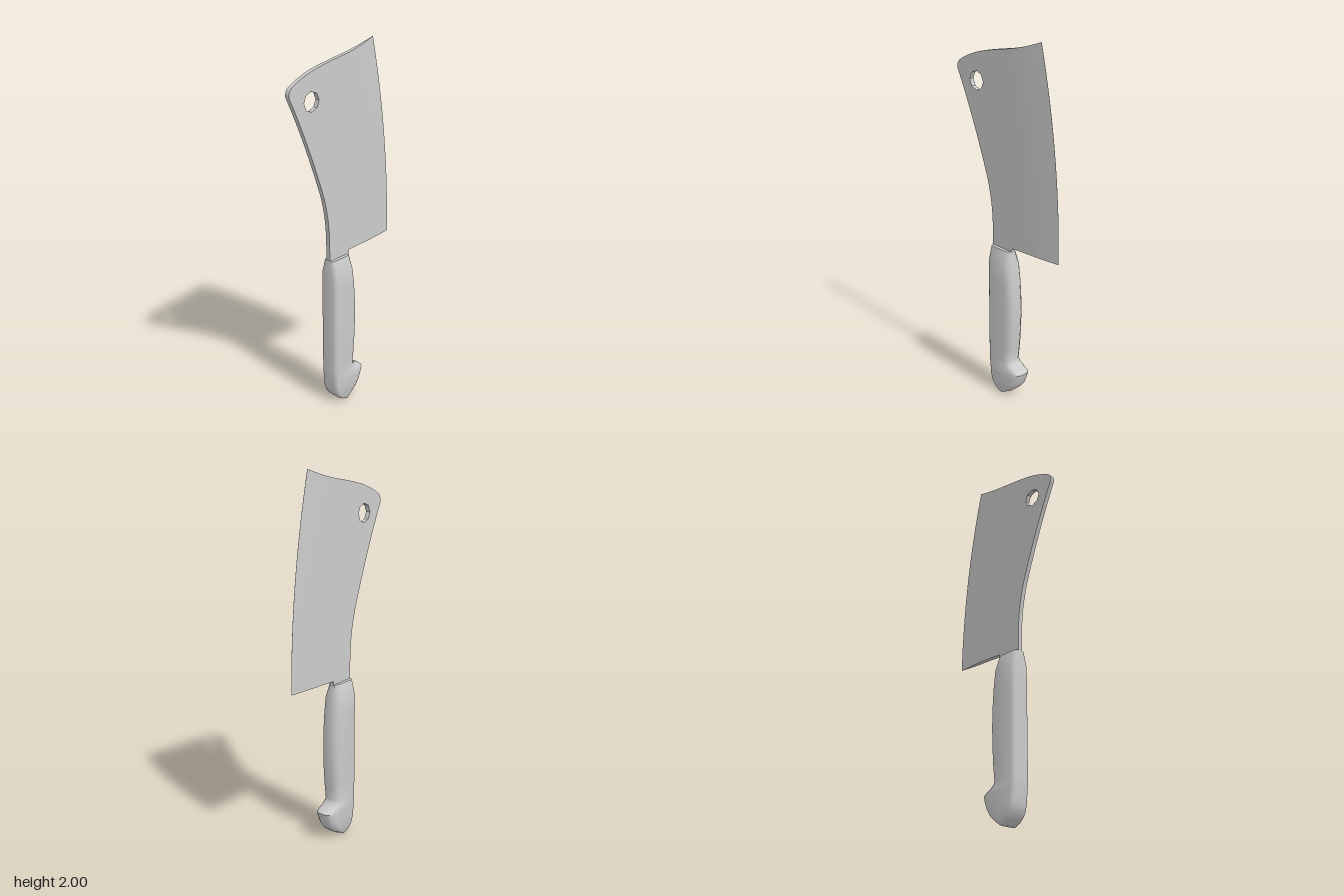
import * as THREE from 'three';
import { toCreasedNormals } from 'three/addons/utils/BufferGeometryUtils.js';

const HALF = 0.0125;      // half thickness of the blade plate
const GRIND = 0.22;       // width of the ground cutting zone

// Point on the ground zone: u = 0 at the plate, 1 at the edge; t = 0 heel, 1 tip
function grindPoint(u, t) {
  const edgeX = (1 - t) ** 2 * 0.36 + 2 * t * (1 - t) * 0.356 + t * t * 0.22;
  const bottom = 0.905 + 0.005 * u;
  const top = 1.94 + 0.06 * (0.65 * u + 0.35 * u * u);
  return [edgeX - GRIND * (1 - u), bottom + (top - bottom) * t];
}

// Flat part of the blade, with hanging hole and a tang reaching into the handle
function bladePlate() {
  const shape = new THREE.Shape();
  shape.moveTo(-0.104, 0.86);
  shape.lineTo(0.035, 0.86);
  shape.lineTo(0.04, 0.9);
  for (let i = 0; i <= 16; i++) shape.lineTo(...grindPoint(0, i / 16));
  shape.quadraticCurveTo(-0.11, 1.922, -0.2, 1.9);
  shape.quadraticCurveTo(-0.28, 1.877, -0.343, 1.84);
  shape.quadraticCurveTo(-0.375, 1.815, -0.36, 1.785);
  shape.quadraticCurveTo(-0.25, 1.56, -0.145, 1.25);
  shape.quadraticCurveTo(-0.108, 1.12, -0.106, 1.0);
  shape.closePath();
  const hole = new THREE.Path();
  for (let i = 0; i < 8; i++) {
    const a = -(i + 0.0) * Math.PI / 4;
    const x = -0.22 + 0.05 * Math.cos(a), y = 1.75 + 0.05 * Math.sin(a);
    i ? hole.lineTo(x, y) : hole.moveTo(x, y);
  }
  hole.closePath();
  shape.holes.push(hole);
  const g = new THREE.ExtrudeGeometry(shape, { depth: 2 * HALF, bevelEnabled: false, curveSegments: 8 });
  g.translate(0, 0, -HALF);
  return toCreasedNormals(g, 0.6);
}

// Convex taper from the plate down to the cutting edge
function bladeEdge() {
  const g = new THREE.BoxGeometry(1, 1, 1, 10, 16, 1);
  const p = g.attributes.position;
  for (let i = 0; i < p.count; i++) {
    const u = p.getX(i) + 0.5, t = p.getY(i) + 0.5;
    const [x, y] = grindPoint(u, t);
    const half = Math.max(HALF * (1 - u ** 1.8), 0.0003);
    p.setXYZ(i, x, y, Math.sign(p.getZ(i)) * half);
  }
  g.computeVertexNormals();
  return g;
}

// Handle lofted from chamfered sections: [y, back x, front x, half depth]
function handleGeometry() {
  const sections = [
    [0.88, -0.105, 0.035, 0.032], [0.86, -0.106, 0.038, 0.038], [0.8, -0.107, 0.048, 0.055],
    [0.7, -0.108, 0.061, 0.055], [0.6, -0.108, 0.068, 0.055], [0.5, -0.108, 0.07, 0.055],
    [0.4, -0.108, 0.067, 0.055], [0.3, -0.108, 0.06, 0.055], [0.215, -0.107, 0.05, 0.055],
    [0.195, -0.107, 0.064, 0.055], [0.18, -0.106, 0.09, 0.055], [0.16, -0.104, 0.127, 0.055],
    [0.13, -0.101, 0.12, 0.055], [0.09, -0.097, 0.104, 0.055], [0.055, -0.086, 0.08, 0.055],
    [0.025, -0.064, 0.046, 0.053], [0.01, -0.042, 0.02, 0.05], [0, -0.02, 0.0, 0.045],
  ];
  const pos = [], idx = [];
  let n = 0;
  for (const [y, xb, xf, h] of sections) {
    const w = xf - xb, b = Math.min(0.016, 0.3 * w), f = Math.min(0.04, 0.35 * w);
    const side = [[xb, 0.6], [xb + b * 0.35, 0.85], [xb + b, 1], [xf - f, 1], [xf - f * 0.35, 0.82], [xf, 0.45]];
    const ring = [...side, ...side.slice().reverse().map(([x, z]) => [x, -z])];
    n = ring.length;
    for (const [x, z] of ring) pos.push(x, y, z * h);
  }
  const last = (sections.length - 1) * n;
  for (let j = 0; j < sections.length - 1; j++) {
    for (let i = 0; i < n; i++) {
      const a = j * n + i, b = j * n + (i + 1) % n;
      idx.push(a, a + n, b, b, a + n, b + n);
    }
  }
  // End caps
  for (let i = 1; i < n - 1; i++) {
    idx.push(0, i, i + 1, last, last + i + 1, last + i);
  }
  const g = new THREE.BufferGeometry();
  g.setAttribute('position', new THREE.Float32BufferAttribute(pos, 3));
  g.setIndex(idx);
  return toCreasedNormals(g, 0.85);
}

export function createModel() {
  const group = new THREE.Group();
  group.name = 'cleaver';
  const material = new THREE.MeshStandardMaterial({ color: 0xcccccc });
  const add = (name, geometry) => {
    const mesh = new THREE.Mesh(geometry, material);
    mesh.name = name;
    group.add(mesh);
  };
  add('bladePlate', bladePlate());
  add('bladeEdge', bladeEdge());
  add('handle', handleGeometry());
  return group;
}
